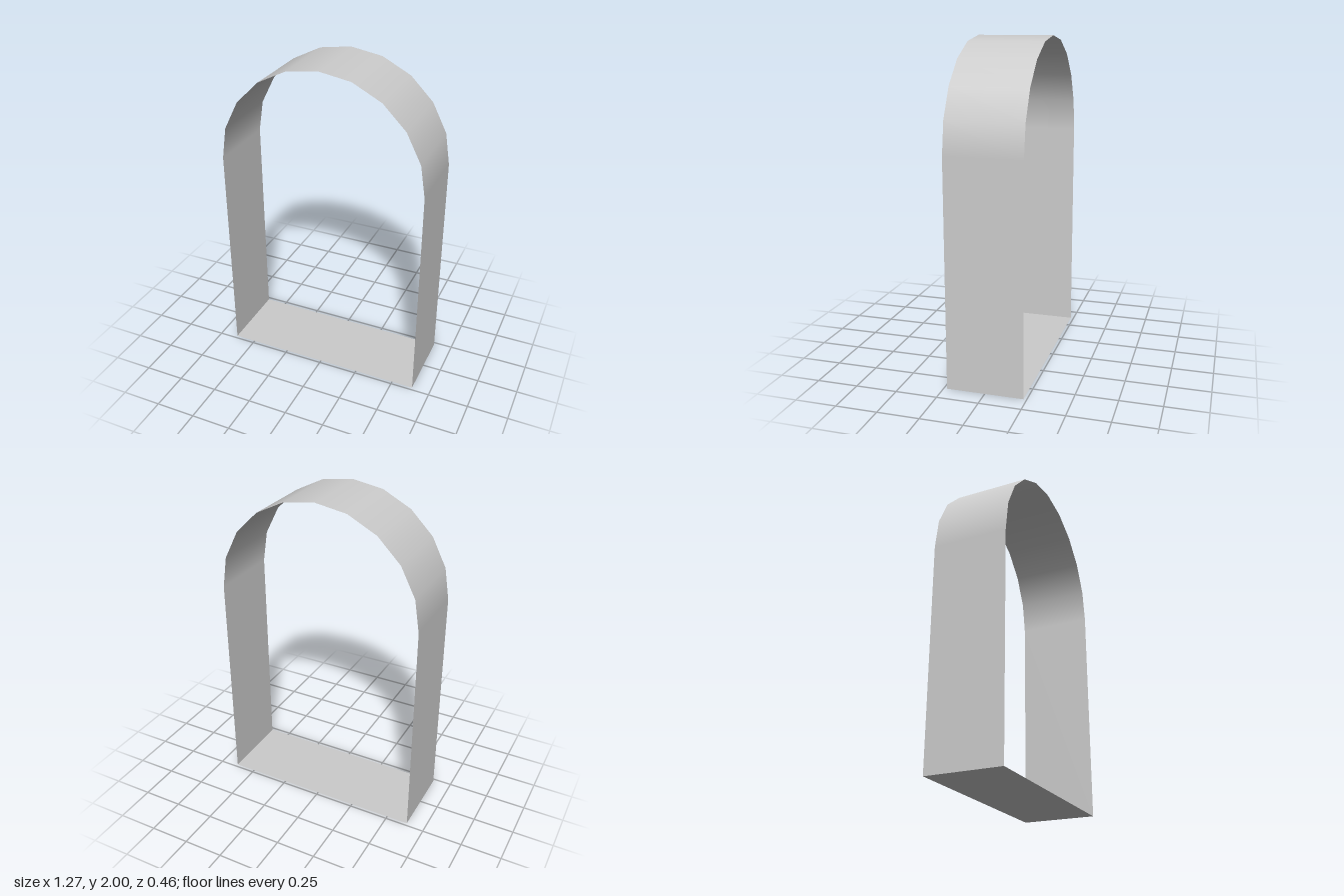
import * as THREE from 'three';

const RADIUS = 0.635; // half width of the opening and radius of the arch
const SPRING = 2 - RADIUS; // height where the arch begins
const DEPTH = 0.46;

export function createModel() {
  const group = new THREE.Group();
  group.name = 'archedWindowReveal';
  const material = new THREE.MeshStandardMaterial({ color: 0xcccccc, side: THREE.DoubleSide });

  const add = (name, geometry, x, y) => {
    const mesh = new THREE.Mesh(geometry, material);
    mesh.name = name;
    mesh.position.set(x, y, 0);
    group.add(mesh);
  };

  // Half-round arch sheet in ten facets, smooth shaded
  const arch = new THREE.CylinderGeometry(RADIUS, RADIUS, DEPTH, 10, 1, true, Math.PI / 2, Math.PI);
  add('arch', arch.rotateX(Math.PI / 2), 0, SPRING);

  // Straight side walls, facing outward
  for (const side of [-1, 1]) {
    const wall = new THREE.PlaneGeometry(DEPTH, SPRING).rotateY(side * Math.PI / 2);
    add(side > 0 ? 'leftWall' : 'rightWall', wall, side * RADIUS, SPRING / 2);
  }

  // Flat sill, facing down
  add('sill', new THREE.PlaneGeometry(2 * RADIUS, DEPTH).rotateX(Math.PI / 2), 0, 0);

  return group;
}
